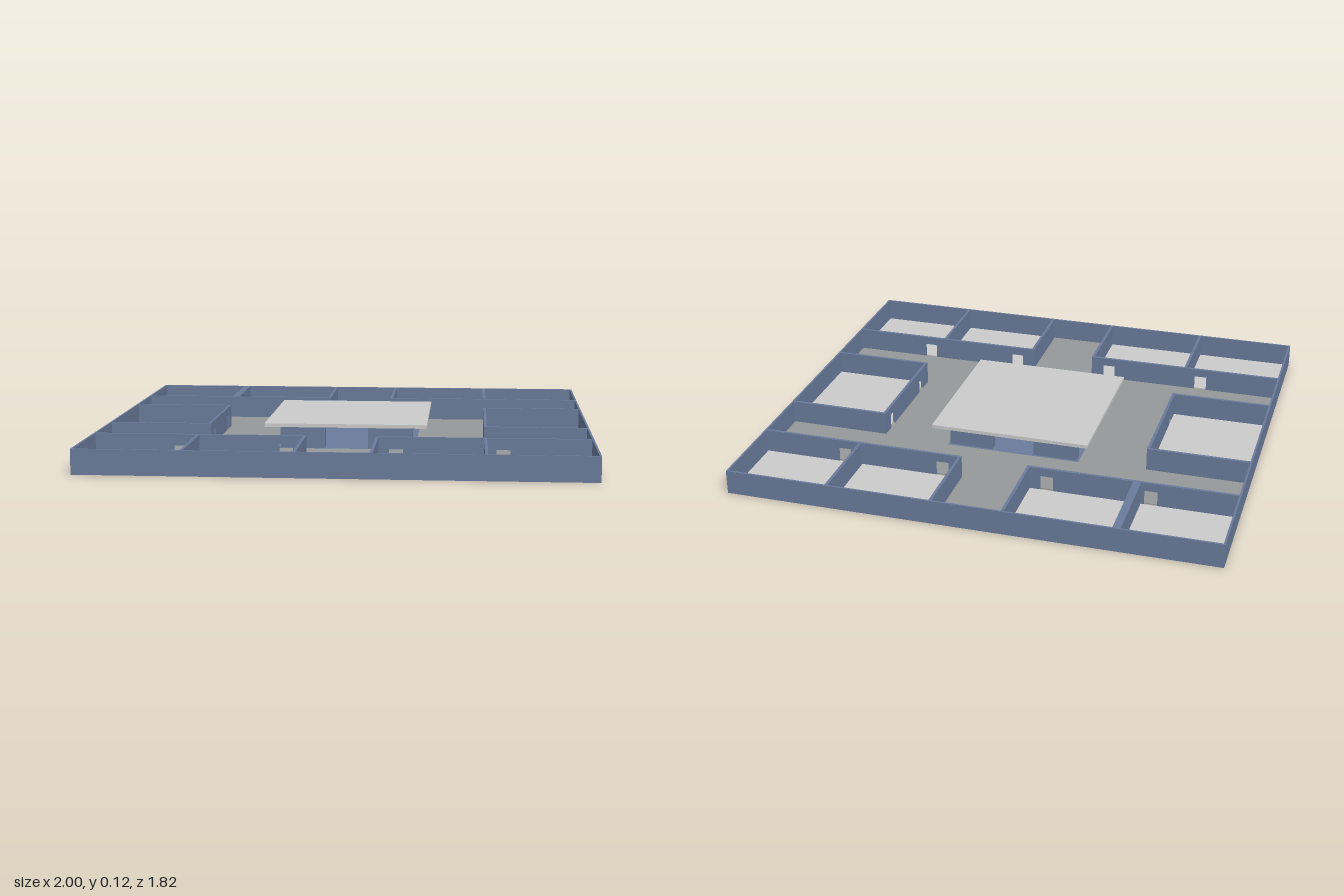
import * as THREE from 'three';

const WALL = new THREE.MeshStandardMaterial({ color: 0x6a7b9b });
const PAVING = new THREE.MeshStandardMaterial({ color: 0x969999 });
const PALE = new THREE.MeshStandardMaterial({ color: 0xcccccc });

const H = 0.1;        // wall height
const T = 0.012;      // wall thickness
const FLOOR = 0.004;  // floor thickness
const X = 1, Z = 0.91; // half size of the plan
const DOOR_W = 0.055, DOOR_H = 0.065;

export function createModel() {
  const model = new THREE.Group();

  function add(name, geometry, material) {
    const mesh = new THREE.Mesh(geometry, material);
    mesh.name = name;
    model.add(mesh);
    return mesh;
  }

  // Box given by its limits on each axis
  function block(name, x0, x1, y0, y1, z0, z1, material) {
    const mesh = add(name, new THREE.BoxGeometry(x1 - x0, y1 - y0, z1 - z0), material);
    mesh.position.set((x0 + x1) / 2, (y0 + y1) / 2, (z0 + z1) / 2);
  }

  // Upright wall running from a to b, with door notches cut from its foot.
  // axis 'x': runs along x at z = at; axis 'z': runs along z at x = at.
  function wall(name, axis, a, b, at, doors = [], thick = T) {
    const s = new THREE.Shape();
    s.moveTo(a, 0);
    for (const d of [...doors].sort((p, q) => p - q)) {
      s.lineTo(d - DOOR_W / 2, 0);
      s.lineTo(d - DOOR_W / 2, DOOR_H);
      s.lineTo(d + DOOR_W / 2, DOOR_H);
      s.lineTo(d + DOOR_W / 2, 0);
    }
    s.lineTo(b, 0);
    s.lineTo(b, H);
    s.lineTo(a, H);
    const g = new THREE.ExtrudeGeometry(s, { depth: thick, bevelEnabled: false });
    g.translate(0, 0, -thick / 2);
    if (axis === 'z') g.rotateY(-Math.PI / 2);
    g.translate(axis === 'z' ? at : 0, 0, axis === 'x' ? at : 0);
    add(name, g, WALL);
  }

  // Perimeter walls
  const P = 0.008;
  for (const s of [-1, 1]) {
    wall('perimeterWall', 'x', -X, X, s * (Z - P / 2), [], P);
    wall('perimeterWall', 'z', -Z + P, Z - P, s * (X - P / 2), [], P);
  }

  // Plan lines of the rooms
  const innerX = 0.145, splitX = 0.575, rowZ = 0.545, midZ = 0.262;

  for (const sx of [-1, 1]) {
    for (const sz of [-1, 1]) {
      // Corner pair of rooms: front wall with two doors, corridor wall, dividing wall
      const ends = [sx * (innerX - T / 2), sx * (X - P)].sort((p, q) => p - q);
      wall('roomFrontWall', 'x', ends[0], ends[1], sz * (rowZ - T / 2), [sx * 0.22, sx * 0.645]);
      const run = [sz * rowZ, sz * (Z - P)].sort((p, q) => p - q);
      wall('corridorWall', 'z', run[0], run[1], sx * innerX);
      // One of the dividing walls is thicker than the rest
      const thick = sx < 0 && sz < 0;
      wall('dividingWall', 'z', run[0], run[1], sx * (thick ? 0.59 : splitX), [], thick ? 0.032 : T);

      // Room floors
      for (const [p, q] of [[innerX, splitX], [splitX, X - P]]) {
        const [x0, x1] = [sx * p, sx * q].sort((m, n) => m - n);
        block('roomFloor', x0 + T / 2, x1 - T / 2 + (x1 > 0.9 ? T / 2 : 0),
          0, FLOOR, run[0], run[1], PALE);
      }

      // Side walls of the middle room
      const side = [sx * (splitX - T / 2), sx * (X - P)].sort((p, q) => p - q);
      wall('middleRoomSideWall', 'x', side[0], side[1], sz * midZ);
    }

    // Middle room: inward wall with two doors, and floor
    wall('middleRoomFrontWall', 'z', -midZ + T / 2, midZ - T / 2, sx * splitX, [-0.18, 0.18]);
    const [f0, f1] = [sx * (splitX + T / 2), sx * (X - P)].sort((p, q) => p - q);
    block('middleRoomFloor', f0, f1, 0, FLOOR, -midZ + T / 2, midZ - T / 2, PALE);
  }

  // Paved streets: one outline round the rooms, with a hole for the hall
  const hall = 0.285;
  const ix = innerX - T / 2, ox = X - P, rz = rowZ - T, mz = midZ + T / 2, cx = splitX - T / 2;
  const quarter = [[ix, Z - P], [ix, rz], [ox, rz], [ox, mz], [cx, mz]];
  const outline = [];
  for (const [sx, sy] of [[1, 1], [1, -1], [-1, -1], [-1, 1]]) {
    const pts = quarter.map(([x, y]) => new THREE.Vector2(x * sx, y * sy));
    outline.push(...(sx * sy > 0 ? pts : pts.reverse()));
  }
  const street = new THREE.Shape(outline);
  street.holes.push(new THREE.Path([[-1, -1], [1, -1], [1, 1], [-1, 1]]
    .map(([x, y]) => new THREE.Vector2(x * hall, y * hall))));
  const streetGeo = new THREE.ExtrudeGeometry(street, { depth: FLOOR, bevelEnabled: false });
  streetGeo.rotateX(-Math.PI / 2);
  add('streetPaving', streetGeo, PAVING);

  // Central hall: floor, four corner walls and a flat overhanging roof
  block('hallFloor', -hall, hall, 0, FLOOR, -hall, hall, WALL);
  for (const sx of [-1, 1]) {
    for (const sz of [-1, 1]) {
      const [x0, x1] = [sx * 0.09, sx * 0.275].sort((p, q) => p - q);
      const [z0, z1] = [sz * 0.235, sz * 0.275].sort((p, q) => p - q);
      block('hallCornerWall', x0, x1, 0, H, z0, z1, WALL);
    }
  }
  block('hallRoof', -0.335, 0.335, H, 0.115, -0.335, 0.335, PALE);

  return model;
}
